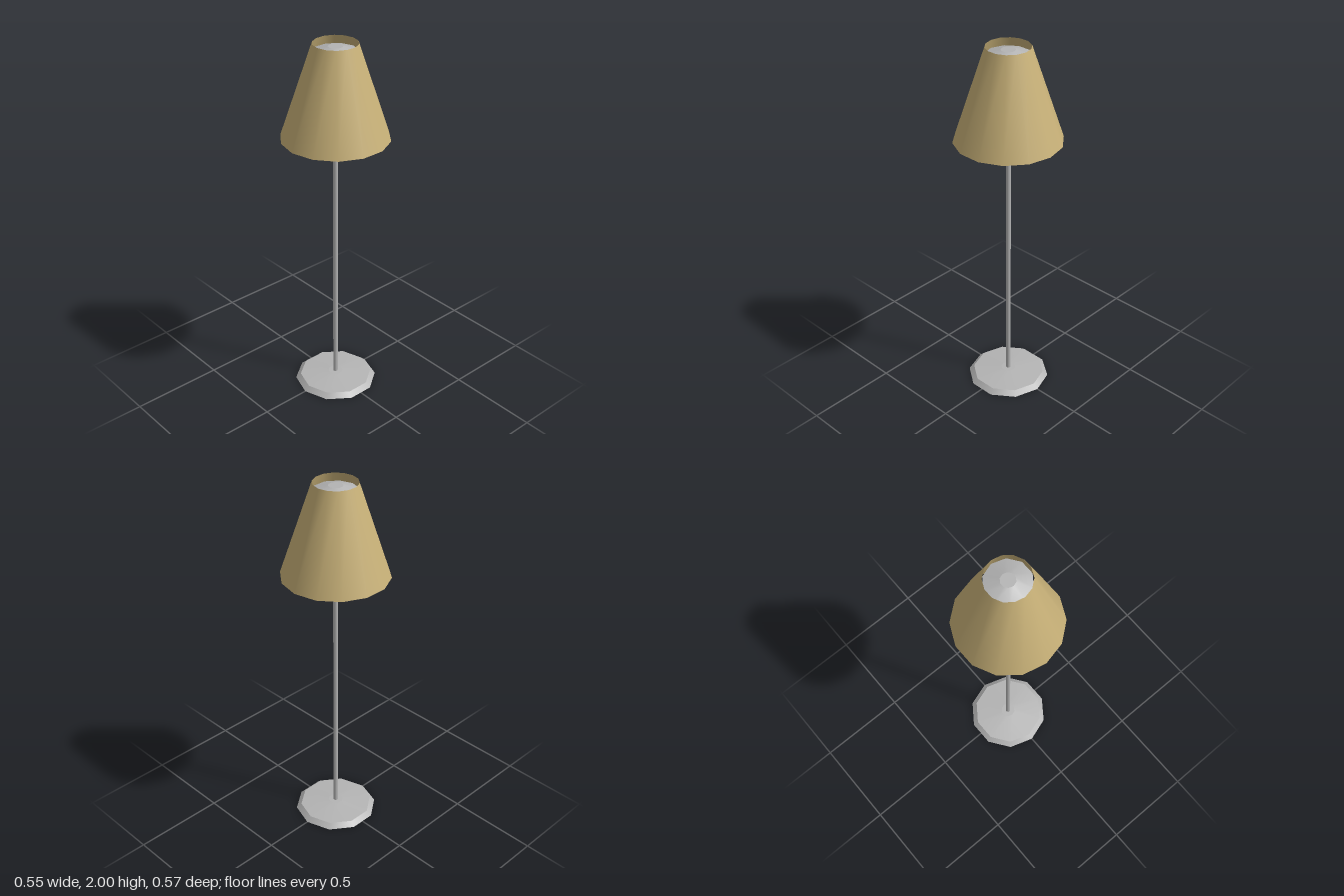
import * as THREE from 'three';

export function createModel() {
  const lamp = new THREE.Group();
  lamp.name = 'floorLamp';

  const metal = new THREE.MeshStandardMaterial({ color: 0xb4b4b4 });
  metal.name = 'grey metal';
  const fabric = new THREE.MeshStandardMaterial({ color: 0xc8b178, side: THREE.DoubleSide });
  fabric.name = 'tan fabric';

  // Tapered round part between two heights
  const addTaper = (name, material, rTop, rBottom, y0, y1, sides, open = false) => {
    const geometry = new THREE.CylinderGeometry(rTop, rBottom, y1 - y0, sides, 1, open);
    const mesh = new THREE.Mesh(geometry, material);
    mesh.name = name;
    mesh.position.y = (y0 + y1) / 2;
    lamp.add(mesh);
  };

  // Foot: bevelled rim with a shallow raised top
  addTaper('baseRim', metal, 0.2, 0.227, 0, 0.025, 10);
  addTaper('baseTop', metal, 0.04, 0.2, 0.025, 0.038, 10);

  // Slim stem ending just inside the shade
  addTaper('pole', metal, 0.013, 0.013, 0.03, 1.54, 10);

  // Open shade
  addTaper('shade', fabric, 0.116, 0.284, 1.5, 2, 14, true);

  // Shallow cap filling the top of the shade
  addTaper('shadeCap', metal, 0.038, 0.118, 1.958, 1.983, 10);

  return lamp;
}
